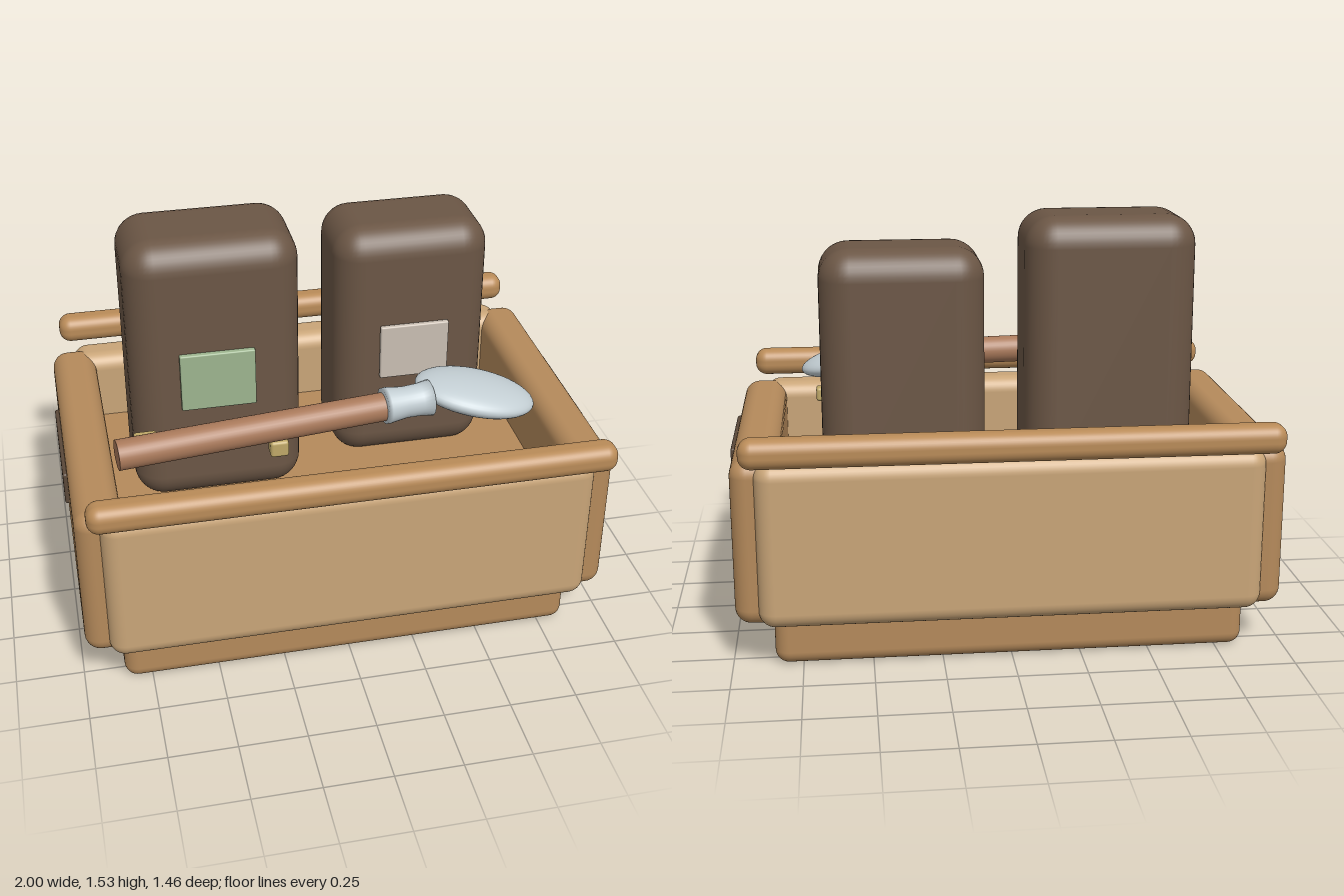
import * as THREE from 'three';
import { RoundedBoxGeometry } from 'three/addons/geometries/RoundedBoxGeometry.js';

const mat = (color) => new THREE.MeshStandardMaterial({ color });

export function createModel() {
  const group = new THREE.Group();
  const wood = mat(0xb58a5b);
  const paleWood = mat(0xc9a578);
  const railWood = mat(0xb98b58);
  const bottleBrown = mat(0x6b5645);
  const darkPlate = mat(0x5a4839);
  const gripWood = mat(0xa9795a);
  const metal = mat(0xc3ced3);
  const crumbYellow = mat(0xbfa868);

  const add = (name, geometry, material, x = 0, y = 0, z = 0) => {
    const mesh = new THREE.Mesh(geometry, material);
    mesh.name = name;
    mesh.position.set(x, y, z);
    group.add(mesh);
    return mesh;
  };
  // Rounded block given by its extents on each axis
  const block = (name, [x0, x1], [y0, y1], [z0, z1], radius, material) =>
    add(name, new RoundedBoxGeometry(x1 - x0, y1 - y0, z1 - z0, 5, radius), material,
      (x0 + x1) / 2, (y0 + y1) / 2, (z0 + z1) / 2);

  // Base, whose top forms the crate floor
  block('base', [-0.85, 0.85], [0, 0.5], [-0.583, 0.583], 0.05, wood);

  // Walls, rails and dark hand holds, mirrored on both sides
  for (const s of [1, -1]) {
    const span = (a, b) => (s > 0 ? [a, b] : [-b, -a]);
    block(s > 0 ? 'frontWall' : 'backWall', [-0.9, 0.9], [0.163, 0.768], span(0.49, 0.655), 0.06, paleWood);
    block(s > 0 ? 'leftWall' : 'rightWall', span(0.815, 0.985), [0.163, 0.768], [-0.607, 0.607], 0.06, wood);
    block(s > 0 ? 'frontRail' : 'backRail', [-0.944, 0.944], [0.77, 0.876], span(0.62, 0.73), 0.045, railWood);
    block(s > 0 ? 'leftHandHold' : 'rightHandHold', span(0.94, 1), [0.58, 0.71], [-0.23, 0.23], 0.008, darkPlate);
  }

  // Two bottles with labels
  block('tallBottle', [-0.725, -0.09], [0.48, 1.535], [-0.255, 0.16], 0.11, bottleBrown);
  block('shortBottle', [0.07, 0.663], [0.48, 1.447], [-0.377, 0.013], 0.11, bottleBrown);
  block('greenLabel', [-0.546, -0.27], [0.893, 1.12], [0.158, 0.182], 0.006, mat(0x9db58f));
  block('greyLabel', [0.235, 0.5], [0.85, 1.07], [0.014, 0.036], 0.006, mat(0xc9beb2));

  // Scoop: wooden grip, flared metal collar and flattened bowl
  const rod = (name, geometry, material, a, b) => {
    const start = new THREE.Vector3(...a);
    const dir = new THREE.Vector3(...b).sub(start).normalize();
    const mesh = add(name, geometry, material, ...a);
    mesh.quaternion.setFromUnitVectors(new THREE.Vector3(0, 1, 0), dir);
  };
  const gripLength = 1.01;
  const grip = new THREE.CylinderGeometry(0.053, 0.055, gripLength, 32).translate(0, gripLength / 2, 0);
  rod('scoopGrip', grip, gripWood, [-0.81, 0.918, 0.456], [0.19, 0.922, 0.344]);
  const collar = new THREE.LatheGeometry(
    [[0, 0], [0.066, 0], [0.067, 0.015], [0.058, 0.08], [0.06, 0.14], [0.067, 0.18], [0, 0.185]]
      .map(([r, y]) => new THREE.Vector2(r, y)), 32);
  rod('scoopCollar', collar, metal, [0.166, 0.928, 0.352], [0.35, 0.93, 0.332]);
  const bowl = add('scoopBowl', new THREE.SphereGeometry(1, 40, 24), metal, 0.524, 0.915, 0.308);
  bowl.scale.set(0.228, 0.058, 0.151);
  bowl.rotation.set(0, -0.16, -0.22, 'YZX');

  // Small loose cubes: x, y, z, width, height, depth
  for (const [x, y, z, w, h, d] of [
    [-0.69, 0.8, 0.235, 0.085, 0.08, 0.075],
    [-0.218, 0.793, 0.328, 0.068, 0.064, 0.06],
    [0.557, 0.823, 0.075, 0.07, 0.066, 0.06],
    [0.66, 0.802, 0.19, 0.056, 0.054, 0.055],
  ]) add('looseCube', new RoundedBoxGeometry(w, h, d, 3, 0.011), crumbYellow, x, y, z);

  return group;
}
